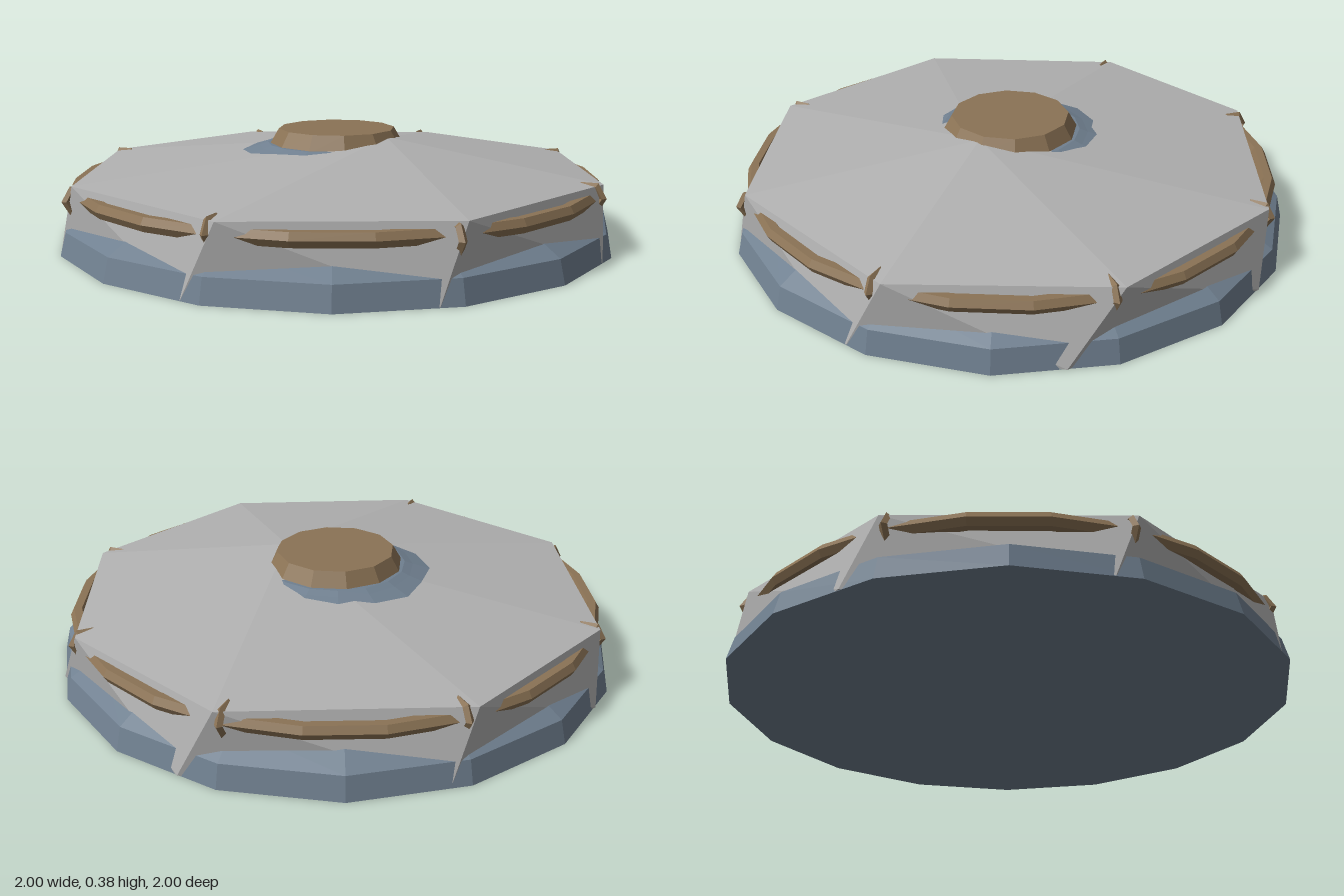
import * as THREE from 'three';

const flat = (name, color) => {
  const m = new THREE.MeshStandardMaterial({ color, flatShading: true });
  m.name = name;
  return m;
};
const point = (deg, r, y) => {
  const a = THREE.MathUtils.degToRad(deg);
  return [r * Math.cos(a), y, r * Math.sin(a)];
};

// Eight-sided leaning cover: off-centre peak, sides twisted toward the ground
function coverGeometry() {
  const angles = [-2.4, 43.3, 88.2, 133.7, 181.2, 222.9, 271.2, 313.3];
  const twist = [7, 6, 6, 6, 6, 6, 7, 11];
  const top = angles.map((a) => point(a, 0.957, 0.24));
  const low = angles.map((a, i) => point(a + twist[i], 0.988, 0.002));
  const peak = [0.2, 0.365, 0.02];
  const floor = [0, 0.002, 0];
  const pos = [];
  for (let i = 0; i < 8; i++) {
    const j = (i + 1) % 8;
    pos.push(...peak, ...top[j], ...top[i]);
    pos.push(...top[i], ...top[j], ...low[i]);
    pos.push(...top[j], ...low[j], ...low[i]);
    pos.push(...floor, ...low[i], ...low[j]);
  }
  const g = new THREE.BufferGeometry();
  g.setAttribute('position', new THREE.Float32BufferAttribute(pos, 3));
  g.computeVertexNormals();
  return g;
}

export function createModel() {
  const model = new THREE.Group();
  const slate = flat('slate', 0x708090);
  const grey = flat('grey', 0xb0b0b0);
  const brown = flat('brown', 0x8b7355);
  const add = (name, geometry, material, y = 0) => {
    const mesh = new THREE.Mesh(geometry, material);
    mesh.name = name;
    mesh.position.y = y;
    model.add(mesh);
    return mesh;
  };

  // Round base with a low mound rising under the cover
  const profile = [[0, 0], [1, 0], [0.98, 0.08], [0.87, 0.145], [0.28, 0.322], [0.25, 0.333], [0, 0.333]];
  add('base', new THREE.LatheGeometry(profile.map(([x, y]) => new THREE.Vector2(x, y)), 16), slate);

  add('cover', coverGeometry(), grey);

  // Knob at the centre
  add('knob', new THREE.CylinderGeometry(0.21, 0.245, 0.06, 12), brown, 0.355);

  // Band around the sides
  add('band', new THREE.TorusGeometry(0.922, 0.027, 6, 24).rotateX(Math.PI / 2), brown, 0.195);

  // Clips holding the band at the corners
  for (let i = 0; i < 8; i++) {
    const front = i === 1 || i === 3;
    const clip = add('clip', new THREE.TorusGeometry(0.045, 0.014, 4, 6), brown);
    clip.position.set(...point(i * 45, front ? 0.93 : 0.917, front ? 0.185 : 0.2));
    clip.rotation.y = -i * Math.PI / 4;
  }
  return model;
}
